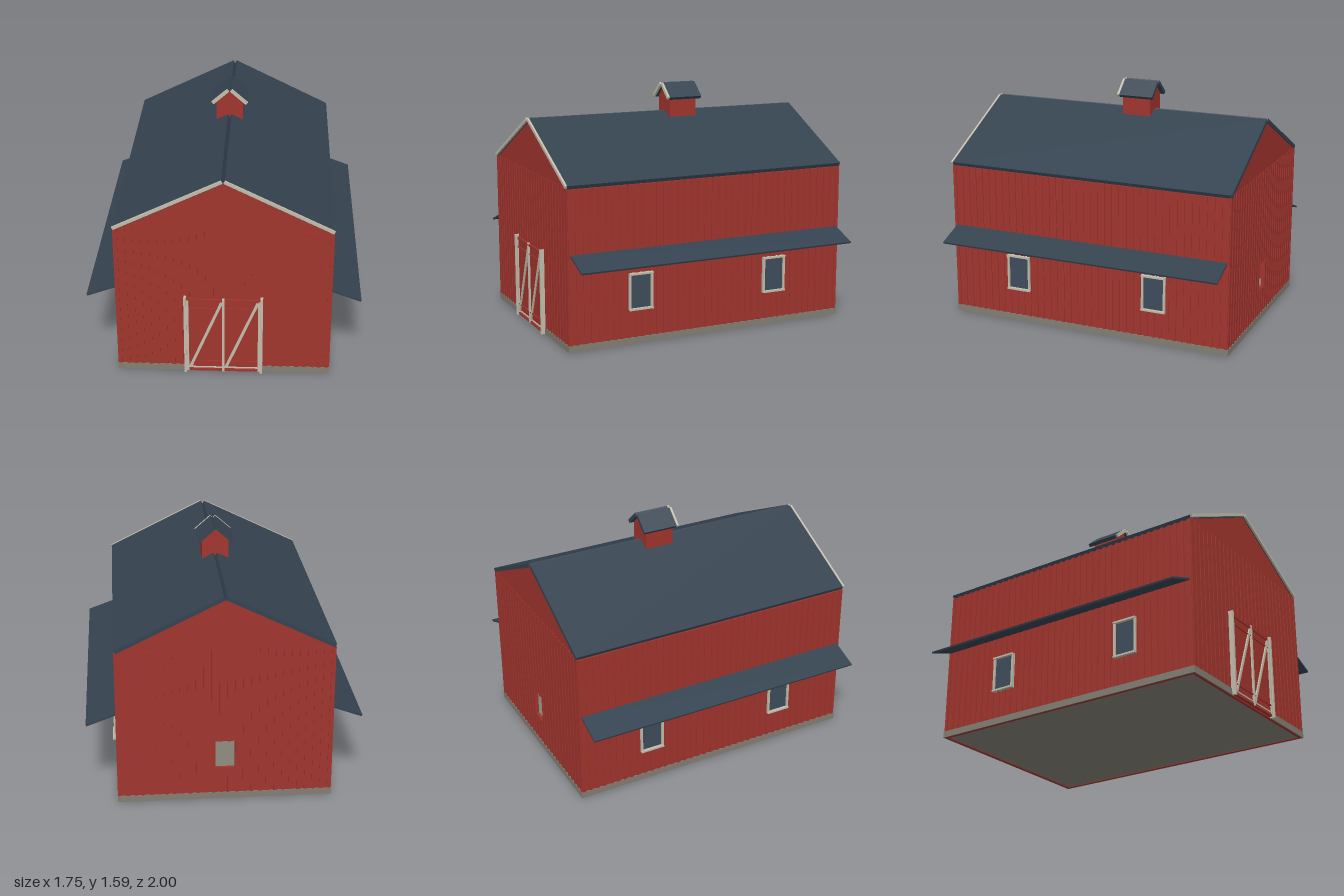
import * as THREE from 'three';

const paint = (name, color) => {
  const m = new THREE.MeshStandardMaterial({ color });
  m.name = name;
  return m;
};

export function createModel() {
  const red = paint('barn red', 0xa0342d);
  const slate = paint('slate blue', 0x34424f);
  const trim = paint('cream trim', 0xc2bcab);
  const stone = paint('stone grey', 0x827e73);
  const glass = paint('window glass', 0x3e4c5b);

  const barn = new THREE.Group();
  barn.name = 'barn';

  const add = (name, geo, mat, parent = barn) => {
    const mesh = new THREE.Mesh(geo, mat);
    mesh.name = name;
    parent.add(mesh);
    return mesh;
  };
  // Box given by its extents
  const box = (name, mat, x0, x1, y0, y1, z0, z1, parent) => {
    const b = add(name, new THREE.BoxGeometry(Math.abs(x1 - x0), y1 - y0, z1 - z0), mat, parent);
    b.position.set((x0 + x1) / 2, (y0 + y1) / 2, (z0 + z1) / 2);
    return b;
  };
  // Outline in x and y, extruded from z0 to z1
  const slab = (name, mat, pts, z0, z1, hole, parent) => {
    const shape = new THREE.Shape(pts.map(([x, y]) => new THREE.Vector2(x, y)));
    if (hole) shape.holes.push(new THREE.Path(hole.map(([x, y]) => new THREE.Vector2(x, y))));
    const geo = new THREE.ExtrudeGeometry(shape, { depth: z1 - z0, bevelEnabled: false });
    return add(name, geo.translate(0, 0, z0), mat, parent);
  };
  // Two sloping slabs meeting in an open notch at the ridge
  const gableRoof = (name, mat, w, apex, angle, lift, t, z0, z1, parent) => {
    const c = Math.cos(angle), n = Math.sin(angle);
    const len = (w - t * n) / c;
    for (const s of [1, -1]) {
      const at = (along, up) => [s * (along * c + up * n), apex - along * n + up * c];
      slab(name, mat, [at(0, lift), at(len, lift), at(len, t), at(0, t)], z0, z1, null, parent);
    }
  };

  const W = 0.682, F = 0.968, B = -0.992, EAVE = 1.035, APEX = 1.371;
  const D = 0.006; // batten depth
  const PITCH = Math.atan2(APEX - EAVE, W);

  // Walls, with an open window in the back gable
  const gable = [[-W, 0], [W, 0], [W, EAVE], [0, APEX], [-W, EAVE]];
  const opening = [[-0.062, 0.22], [-0.062, 0.41], [0.062, 0.41], [0.062, 0.22]];
  slab('frontWall', red, gable, F - 0.02, F);
  slab('backWall', red, gable, B, B + 0.02, opening);
  for (const s of [1, -1]) box('sideWall', red, s * W, s * (W - 0.02), 0, EAVE, B + 0.02, F - 0.02);

  // Floor and plinth boards
  box('floor', stone, -W + 0.02, W - 0.02, 0.004, 0.03, B + 0.02, F - 0.02);
  const P = 0.007, PH = 0.043;
  for (const s of [1, -1]) {
    box('sidePlinth', stone, s * W, s * (W + P), 0, PH, B - P, F + P);
    box('frontPlinth', stone, s * 0.24, s * W, 0, PH, F, F + P);
  }
  box('backPlinth', stone, -W, W, 0, PH, B - P, B);

  // Vertical battens
  const battens = new THREE.Group();
  battens.name = 'battens';
  barn.add(battens);
  const TOP = 1.05, HALF = 0.011;
  for (let i = 0; i < 28; i++) {
    const x = -W + HALF + (i * 2 * (W - HALF)) / 27;
    const x0 = x - HALF, x1 = x + HALF;
    const base = Math.abs(x) < 0.23 ? 0.54 : PH;
    box('frontBatten', red, x0, x1, base, TOP - 0.003, F, F + D, battens);
    const spans = Math.abs(x) < 0.073 ? [[PH, 0.22], [0.41, TOP]] : [[PH, TOP]];
    for (const [y0, y1] of spans) box('backBatten', red, x0, x1, y0, y1 - 0.003, B - D, B, battens);
  }
  for (const s of [1, -1]) {
    for (let i = 0; i < 40; i++) {
      const z = B + HALF + (i * (F - B - 2 * HALF)) / 39;
      box('sideBatten', red, s * W, s * (W + D), PH, TOP - 0.012, z - HALF, z + HALF, battens);
    }
  }

  // Main roof and front barge boards
  gableRoof('roof', slate, 0.688, APEX, PITCH, 0, 0.026, -1, 0.97);
  gableRoof('bargeBoard', trim, 0.69, APEX, PITCH, 0.008, 0.028, 0.97, 0.984);

  // Side awnings and windows
  for (const s of [1, -1]) {
    const awning = add('awning', new THREE.BoxGeometry(0.2, 0.012, 1.935), slate);
    awning.position.set(s * 0.778, 0.584, -0.0125);
    awning.rotation.z = -s * 0.355;

    for (const z of [0.483, -0.49]) {
      const win = new THREE.Group();
      win.name = 'sideWindow';
      barn.add(win);
      const y0 = 0.225, y1 = 0.468, h = 0.083, f = 0.014;
      box('pane', glass, s * (W + D), s * (W + 0.009), y0, y1, z - h + f, z + h - f, win);
      for (const e of [1, -1]) {
        const zc = z + e * (h - f / 2);
        box('windowJamb', trim, s * W, s * 0.703, y0, y1, zc - f / 2, zc + f / 2, win);
      }
      box('windowSill', trim, s * W, s * 0.711, y0, y0 + 0.012, z - h, z + h, win);
      box('windowHead', trim, s * W, s * 0.711, y1 - 0.012, y1, z - h, z + h, win);
    }
  }

  // Double front door
  const door = new THREE.Group();
  door.name = 'frontDoor';
  barn.add(door);
  box('doorPanel', red, -0.235, 0.235, 0.008, 0.55, F, 0.982, door);
  for (const [y0, y1] of [[0.538, 0.555], [0.483, 0.49], [0.077, 0.086], [0.008, 0.022]]) {
    box('doorRail', red, -0.222, 0.222, y0, y1, 0.98, 0.99, door);
  }
  box('doorThreshold', trim, -0.222, 0.222, 0.03, 0.038, 0.98, 0.988, door);
  for (const s of [1, -1]) {
    box('doorPost', trim, s * 0.237, s * 0.253, 0, 0.568, F, 1, door);
    box('doorStile', trim, s * 0.222, s * 0.237, 0.008, 0.54, F, 0.992, door);
  }
  box('centreStile', trim, -0.008, 0.008, 0.008, 0.56, 0.98, 0.994, door);
  for (const x of [-0.113, 0.117]) {
    const brace = add('doorBrace', new THREE.BoxGeometry(0.018, 0.535, 0.01), trim, door);
    brace.position.set(x, 0.283, 0.986);
    brace.rotation.z = -Math.atan2(0.205, 0.5);
  }

  // Cupola
  const cupola = new THREE.Group();
  cupola.name = 'cupola';
  barn.add(cupola);
  const cw = 0.088, tilt = 0.72, peak = 1.566;
  const shoulder = peak - cw * Math.tan(tilt);
  slab('cupolaBody', red, [[-cw, 1.3], [cw, 1.3], [cw, shoulder], [0, peak], [-cw, shoulder]],
    -0.208, -0.013, null, cupola);
  gableRoof('cupolaRoof', slate, 0.12, peak, tilt, 0, 0.024, -0.235, 0.003, cupola);
  gableRoof('cupolaBargeBoard', trim, 0.122, peak, tilt, 0.004, 0.026, 0.003, 0.018, cupola);

  return barn;
}
